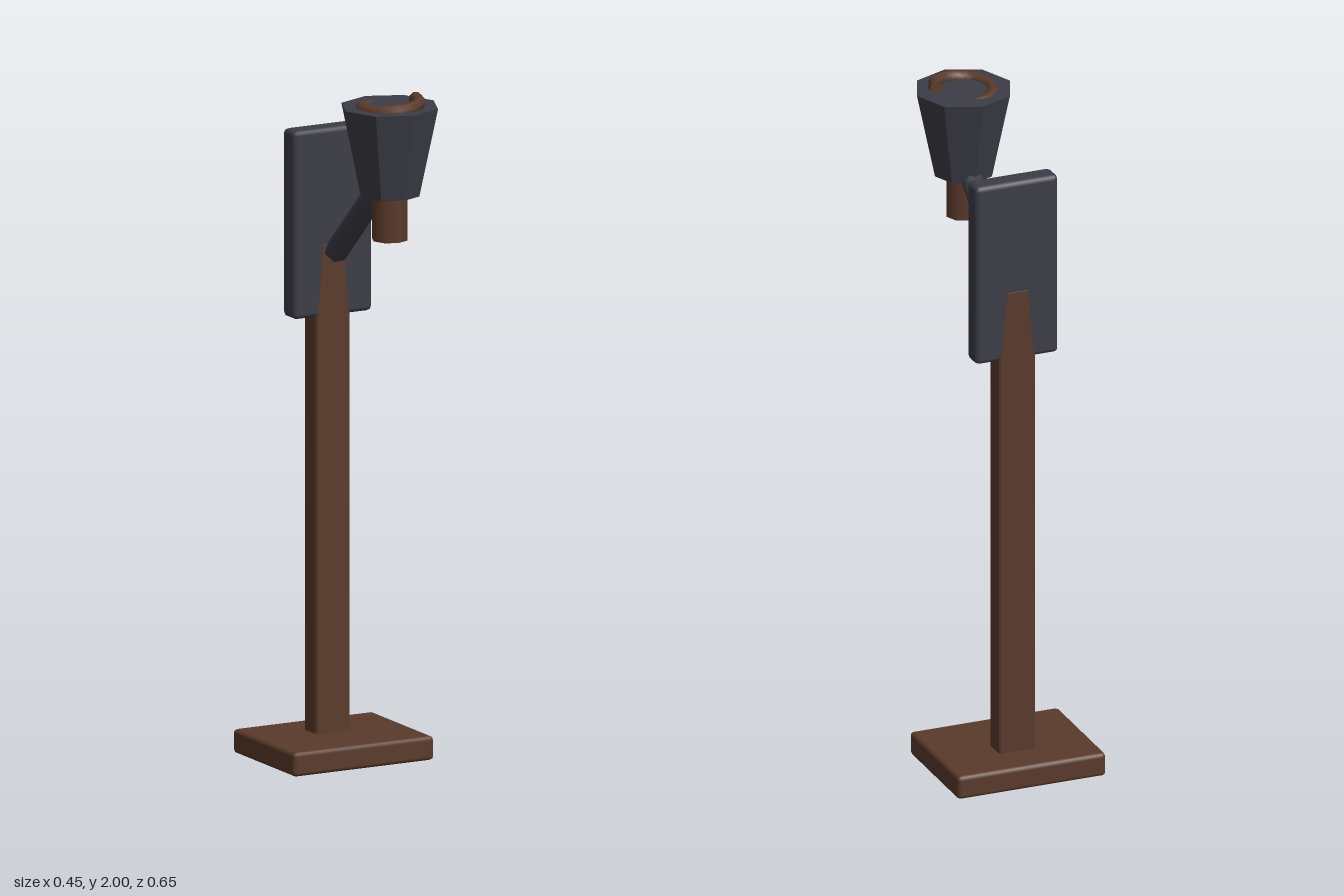
import * as THREE from 'three';
import { RoundedBoxGeometry } from 'three/addons/geometries/RoundedBoxGeometry.js';

export function createModel() {
  const group = new THREE.Group();
  const wood = new THREE.MeshStandardMaterial({ color: 0x5a3a2b });
  const iron = new THREE.MeshStandardMaterial({ color: 0x3c3c47 });
  wood.name = 'dark wood';
  iron.name = 'dark iron';

  const add = (name, geometry, material, x = 0, y = 0, z = 0) => {
    const mesh = new THREE.Mesh(geometry, material);
    mesh.name = name;
    mesh.position.set(x, y, z);
    group.add(mesh);
    return mesh;
  };
  const faceted = (geometry) => {
    const flat = geometry.toNonIndexed();
    flat.computeVertexNormals();
    return flat;
  };

  const postZ = -0.18, cupZ = 0.183;

  // Foot and wall plate with softened edges
  add('base', new RoundedBoxGeometry(0.454, 0.07, 0.36, 1, 0.012), wood, 0, 0.05, -0.145);
  add('backPlate', new RoundedBoxGeometry(0.254, 0.545, 0.07, 1, 0.014), iron, 0, 1.565, postZ);

  // Post, narrowing where it is let into the plate
  const bevel = 0.005, halfDepth = 0.0355;
  const outline = new THREE.Shape([
    [-0.05, bevel], [0.05, bevel], [0.05, 1.29], [0.032, 1.5], [-0.032, 1.5], [-0.05, 1.29],
  ].map(([x, y]) => new THREE.Vector2(x, y)));
  add('post', new THREE.ExtrudeGeometry(outline, {
    depth: 2 * (halfDepth - bevel), bevelSize: bevel, bevelThickness: bevel, bevelSegments: 1,
  }), wood, 0, 0, postZ - halfDepth + bevel);

  // Six-sided slanting arm
  const from = new THREE.Vector3(0, 1.478, -0.133);
  const to = new THREE.Vector3(0, 1.745, 0.15);
  const direction = to.clone().sub(from);
  const armGeometry = new THREE.CylinderGeometry(0.034, 0.034, direction.length(), 6).rotateY(Math.PI / 6);
  const arm = add('arm', armGeometry, iron);
  arm.position.copy(from).add(to).multiplyScalar(0.5);
  arm.quaternion.setFromUnitVectors(new THREE.Vector3(0, 1, 0), direction.normalize());

  // Torch handle and octagonal cup
  add('handle', new THREE.CylinderGeometry(0.052, 0.052, 0.17, 8), wood, 0, 1.665, cupZ);
  add('cup', faceted(new THREE.CylinderGeometry(0.142, 0.087, 0.257, 8)), iron, 0, 1.8385, cupZ);

  // Coil rising out of the cup, three quarters of a turn
  const coilPoints = [];
  for (let i = 0; i <= 12; i++) {
    const t = i / 12, a = -Math.PI / 2 - t * Math.PI * 1.5;
    coilPoints.push(new THREE.Vector3(0.082 * Math.cos(a), 1.95 + 0.031 * t, 0.082 * Math.sin(a)));
  }
  const coilPath = new THREE.CatmullRomCurve3(coilPoints);
  const coilMaterial = wood;
  add('coil', new THREE.TubeGeometry(coilPath, 16, 0.019, 8), coilMaterial, 0, 0, cupZ);
  const end = coilPoints[12];
  const cap = add('coilEnd', new THREE.CircleGeometry(0.019, 8), wood, end.x, end.y, cupZ + end.z);
  cap.lookAt(cap.position.clone().add(coilPath.getTangent(1)));

  return group;
}
